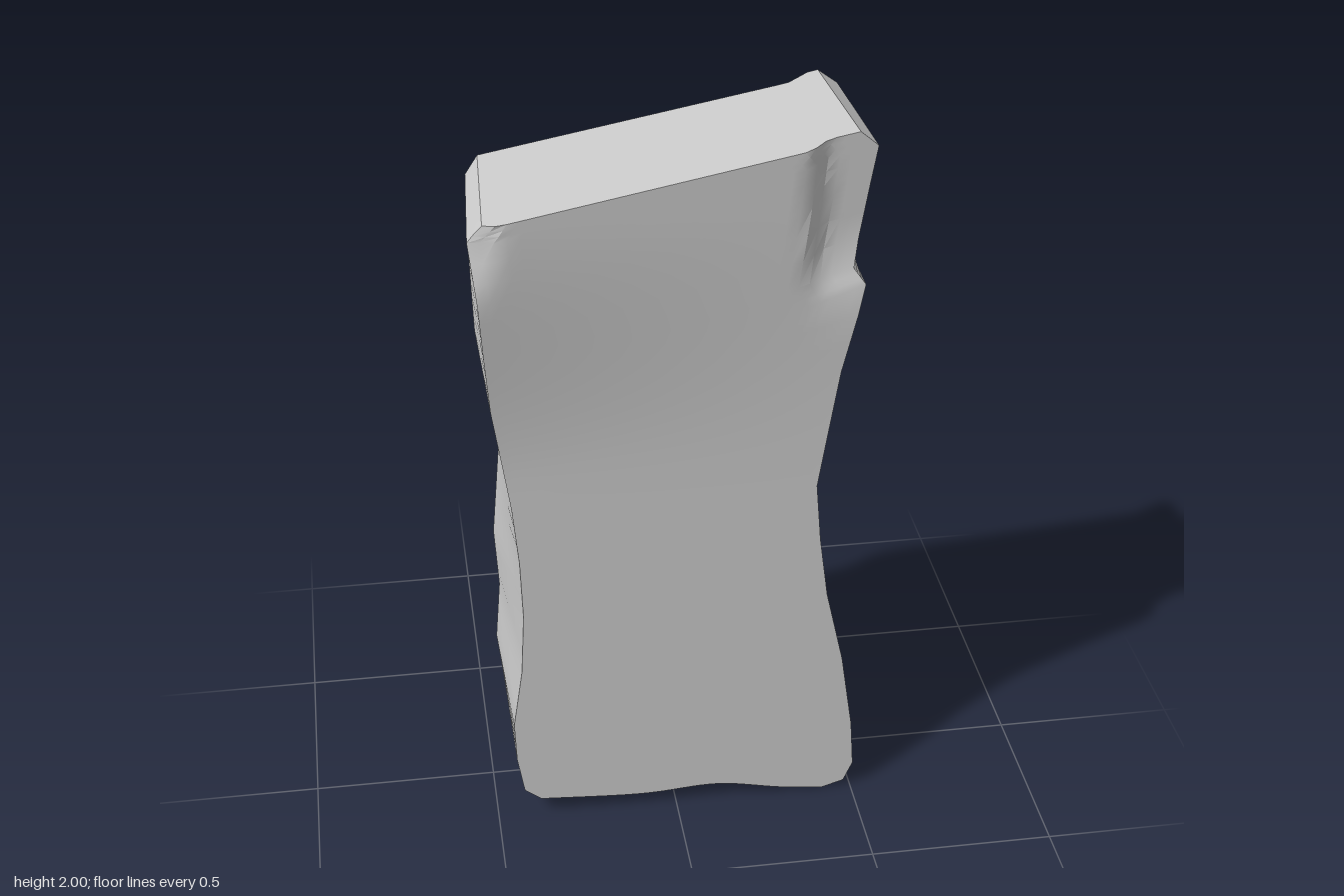
import * as THREE from 'three';
import { mergeGeometries, toCreasedNormals } from 'three/addons/utils/BufferGeometryUtils.js';

const { smoothstep, lerp } = THREE.MathUtils;

// Worn vertical edges of the slab as [x, y], listed from bottom to top
const EDGES = {
  frontLeft: [[-.38, .055], [-.425, .09], [-.443, .2], [-.447, .32], [-.42, .5], [-.41, .68], [-.415, .85],
    [-.43, 1.02], [-.45, 1.16], [-.473, 1.32], [-.485, 1.48], [-.495, 1.64], [-.512, 1.8], [-.475, 1.85]],
  frontRight: [[.42, 0], [.48, .02], [.505, .08], [.495, .22], [.46, .45], [.41, .67], [.385, .85],
    [.37, 1.02], [.42, 1.36], [.475, 1.6], [.445, 1.64], [.48, 1.86], [.497, 1.96], [.45, 2]],
  backLeft: [[-.39, .06], [-.43, .1], [-.447, .2], [-.46, .32], [-.445, .5], [-.455, .68], [-.44, .85],
    [-.425, 1.02], [-.445, 1.16], [-.48, 1.32], [-.485, 1.48], [-.49, 1.64], [-.488, 1.8], [-.455, 1.85]],
  backRight: [[.4, .04], [.46, .06], [.49, .12], [.48, .25], [.445, .47], [.41, .67], [.405, .85],
    [.405, 1.02], [.425, 1.36], [.485, 1.54], [.51, 1.64], [.505, 1.78], [.483, 1.95], [.43, 1.99]],
};

function along(edge, v) {
  const f = v * (edge.length - 1);
  const i = Math.min(Math.floor(f), edge.length - 2);
  return [0, 1].map((k) => lerp(edge[i][k], edge[i + 1][k], f - i));
}

const bump = (x, y, cx, cy, rx, ry) => Math.exp(-(((x - cx) / rx) ** 2) - ((y - cy) / ry) ** 2);

// Front: flat below, flaring at the top left, worn back at the top right corner
function frontZ(x, y) {
  const flare = smoothstep(y, 1.1, 1.85);
  const leftWear = 0.04 * smoothstep(-x, 0.43, 0.51) * smoothstep(y, 1.65, 1.8);
  const rightWear = 0.042 * smoothstep(x, 0.31, 0.38) * smoothstep(y, 1.55, 1.7);
  return lerp(0.2, 0.235 - 0.06 * x, flare) - leftWear - rightWear;
}

// Back: leaning top, shallow hollows and a chipped lower corner
function backZ(x, y) {
  const lean = smoothstep(y, 1.38, 1.72);
  let z = lerp(-0.225, -0.193 - 0.06 * x - 0.037 * smoothstep(x, 0.34, 0.41), lean);
  z += 0.022 * bump(x, y, 0.02, 1.25, 0.16, 0.25) + 0.018 * bump(x, y, -0.12, 0.8, 0.12, 0.25);
  z += 0.015 * bump(x, y, 0.2, 0.75, 0.08, 0.25);
  const chip = smoothstep(y, 0.36, 0.5);
  return lerp(Math.max(z, Math.min(-0.12, -0.225 + 0.46 * (x - 0.24))), z, chip);
}

// Point on the front or back face; u runs left to right, v bottom to top
function facePoint(side, u, v) {
  const a = along(EDGES[side + 'Left'], v);
  const b = along(EDGES[side + 'Right'], v);
  const x = lerp(a[0], b[0], u);
  let y = lerp(a[1], b[1], u);
  y += 0.028 * bump(x, 0, 0.12, 0, 0.15, 1) * Math.max(0, 1 - v * 6);
  return new THREE.Vector3(x, y, side === 'front' ? frontZ(x, y) : backZ(x, y));
}

const front = (u, v) => facePoint('front', u, v);
const back = (u, v) => facePoint('back', u, v);

function patch(fn, nu, nv) {
  const pos = [];
  const index = [];
  for (let j = 0; j <= nv; j++) {
    for (let i = 0; i <= nu; i++) {
      pos.push(...fn(i / nu, j / nv).toArray());
      if (i < nu && j < nv) {
        const a = j * (nu + 1) + i;
        const c = a + nu + 1;
        index.push(a, a + 1, c + 1, a, c + 1, c);
      }
    }
  }
  const g = new THREE.BufferGeometry();
  g.setAttribute('position', new THREE.Float32BufferAttribute(pos, 3));
  g.setIndex(index);
  return g;
}

export function createModel() {
  const cols = 32;
  const rows = 39;
  const faces = [
    patch(front, cols, rows),
    patch((u, v) => back(1 - u, v), cols, rows),
    // right-hand and left-hand sides
    patch((u, v) => front(1, v).lerp(back(1, v), u), 2, rows),
    patch((u, v) => back(0, v).lerp(front(0, v), u), 2, rows),
    // top and underside
    patch((u, v) => front(u, 1).lerp(back(u, 1), v), cols, 2),
    patch((u, v) => back(u, 0).lerp(front(u, 0), v), cols, 2),
  ];
  const geometry = toCreasedNormals(mergeGeometries(faces), 0.55);
  const slab = new THREE.Mesh(geometry, new THREE.MeshStandardMaterial({ color: 0xcccccc }));
  slab.name = 'stoneSlab';

  const group = new THREE.Group();
  group.name = 'standingStone';
  group.add(slab);
  return group;
}
